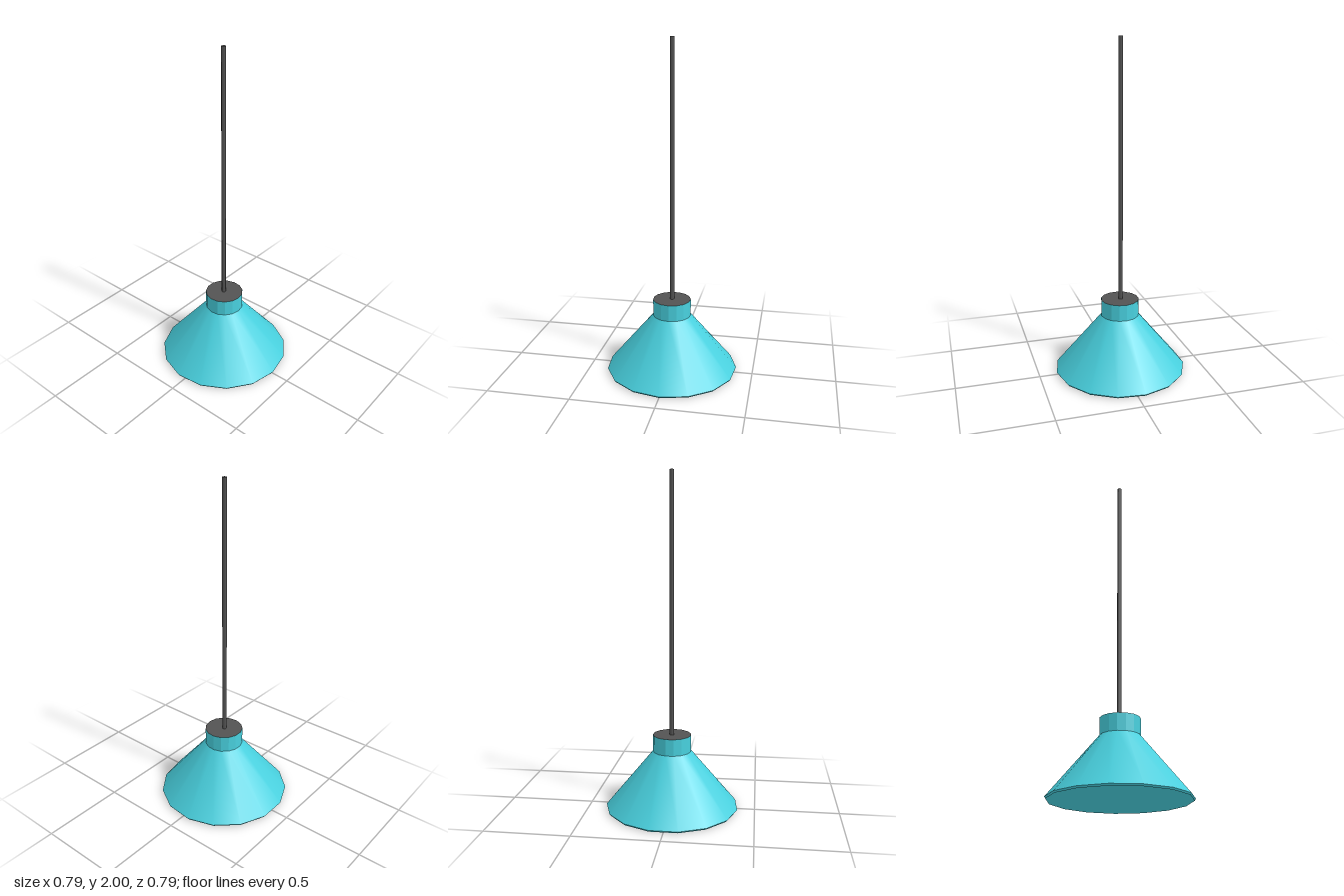
import * as THREE from 'three';

const SIDES = 15;

export function createModel() {
  const model = new THREE.Group();
  const teal = new THREE.MeshStandardMaterial({ color: 0x48d0de });
  teal.name = 'teal enamel';
  const dark = new THREE.MeshStandardMaterial({ color: 0x535353 });
  dark.name = 'dark grey';

  // One ring of faces between two [radius, y] points, with a corner on +x
  function band(name, from, to, material, { sides = SIDES, x = -0.005, flat = false } = {}) {
    const points = [from, to].map(([r, y]) => new THREE.Vector2(r, y));
    let geometry = new THREE.LatheGeometry(points, sides, Math.PI / 2);
    if (flat) {
      geometry = geometry.toNonIndexed();
      geometry.computeVertexNormals();
    }
    const mesh = new THREE.Mesh(geometry, material);
    mesh.name = name;
    mesh.position.x = x;
    model.add(mesh);
  }

  // Conical shade: hollow shell with a thin rim
  band('shadeOuter', [0.399, 0.01], [0.115, 0.35], teal);
  band('shadeRim', [0.392, 0], [0.399, 0.01], teal);
  band('shadeInner', [0.108, 0.34], [0.392, 0], teal);
  band('shadeCeiling', [0, 0.34], [0.108, 0.34], teal);

  // Collar with a dark lid
  band('collar', [0.115, 0.35], [0.115, 0.45], teal, { flat: true });
  band('collarLid', [0.115, 0.45], [0, 0.45], dark);

  // Hanging cord
  const cord = { sides: 7, x: -0.009 };
  band('cord', [0.0135, 0.44], [0.0135, 2], dark, cord);
  band('cordEnd', [0.0135, 2], [0, 2], dark, cord);

  return model;
}
